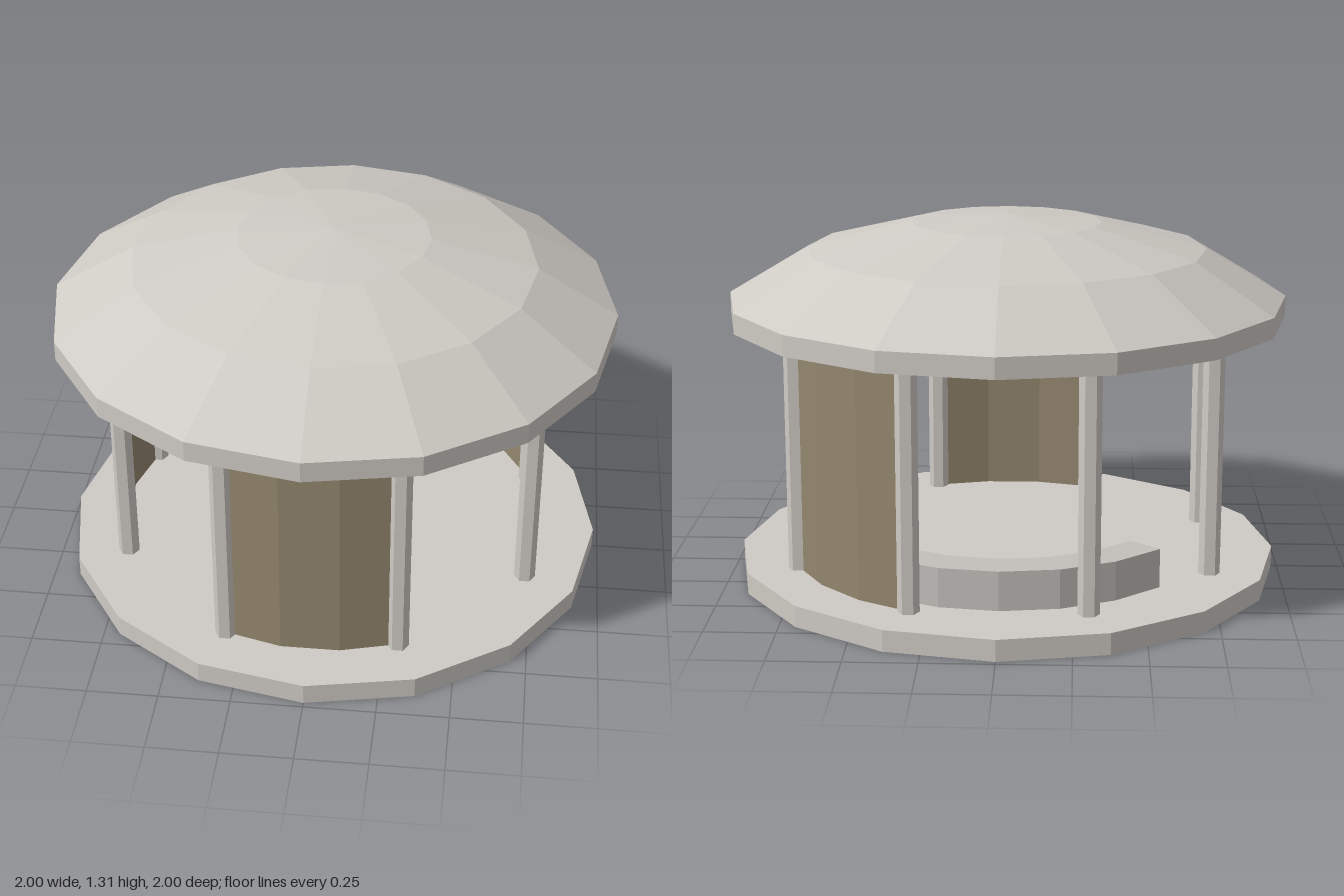
import * as THREE from 'three';

const mat = (name, color, side = THREE.FrontSide) =>
  new THREE.MeshStandardMaterial({ name, color, side, flatShading: true });

const deg = THREE.MathUtils.degToRad;

export function createModel() {
  const model = new THREE.Group();
  model.name = 'pavilion';

  const stone = mat('pale stone', 0xcecac4);
  const benchStone = mat('bench stone', 0xc2c0bb);
  const ceilingGrey = mat('ceiling grey', 0x92928e);
  const wallBrown = mat('wall brown', 0x93866e, THREE.DoubleSide);

  const add = (name, geometry, material, x = 0, y = 0, z = 0) => {
    const mesh = new THREE.Mesh(geometry, material);
    mesh.name = name;
    mesh.position.set(x, y, z);
    model.add(mesh);
    return mesh;
  };

  const floorY = 0.076, eaveY = 0.947, ringR = 0.791;
  const height = eaveY - floorY, midY = (eaveY + floorY) / 2;

  // Sixteen-sided floor slab
  add('floor', new THREE.CylinderGeometry(0.98, 0.98, floorY, 16), stone, 0, floorY / 2, 0);

  // Faceted dome with an upright rim, closed below by a darker ceiling
  const profile = [[1, eaveY], [1, 1.02], [0.715, 1.19], [0.34, 1.285], [0, 1.312]]
    .map(([r, y]) => new THREE.Vector2(r, y));
  add('roof', new THREE.LatheGeometry(profile, 16), stone);
  add('ceiling', new THREE.CircleGeometry(1, 16).rotateX(Math.PI / 2), ceilingGrey, 0, eaveY, 0);

  // Eight hexagonal posts
  const postGeo = new THREE.CylinderGeometry(0.038, 0.038, height, 6).rotateY(Math.PI / 6);
  for (let i = 0; i < 8; i++) {
    const a = deg(22.5 + 45 * i);
    add('post', postGeo, stone, ringR * Math.sin(a), midY, ringR * Math.cos(a));
  }

  // Three curved wall panels, each between two posts
  for (const centre of [0, 135, 270]) {
    add('wallPanel', new THREE.CylinderGeometry(ringR, ringR, height, 3, 1, true,
      deg(centre - 22.5), deg(45)), wallBrown, 0, midY, 0);
  }

  // Curved bench along the back
  const half = deg(50), steps = 6;
  const arc = (r) => Array.from({ length: steps + 1 }, (_, i) => {
    const a = -half + (2 * half * i) / steps;
    return new THREE.Vector2(r * Math.sin(a), r * Math.cos(a));
  });
  const benchShape = new THREE.Shape([...arc(0.717), ...arc(0.584).reverse()]);
  const benchGeo = new THREE.ExtrudeGeometry(benchShape, { depth: 0.14, bevelEnabled: false });
  add('bench', benchGeo.rotateX(-Math.PI / 2), benchStone, 0, floorY, 0);

  return model;
}
